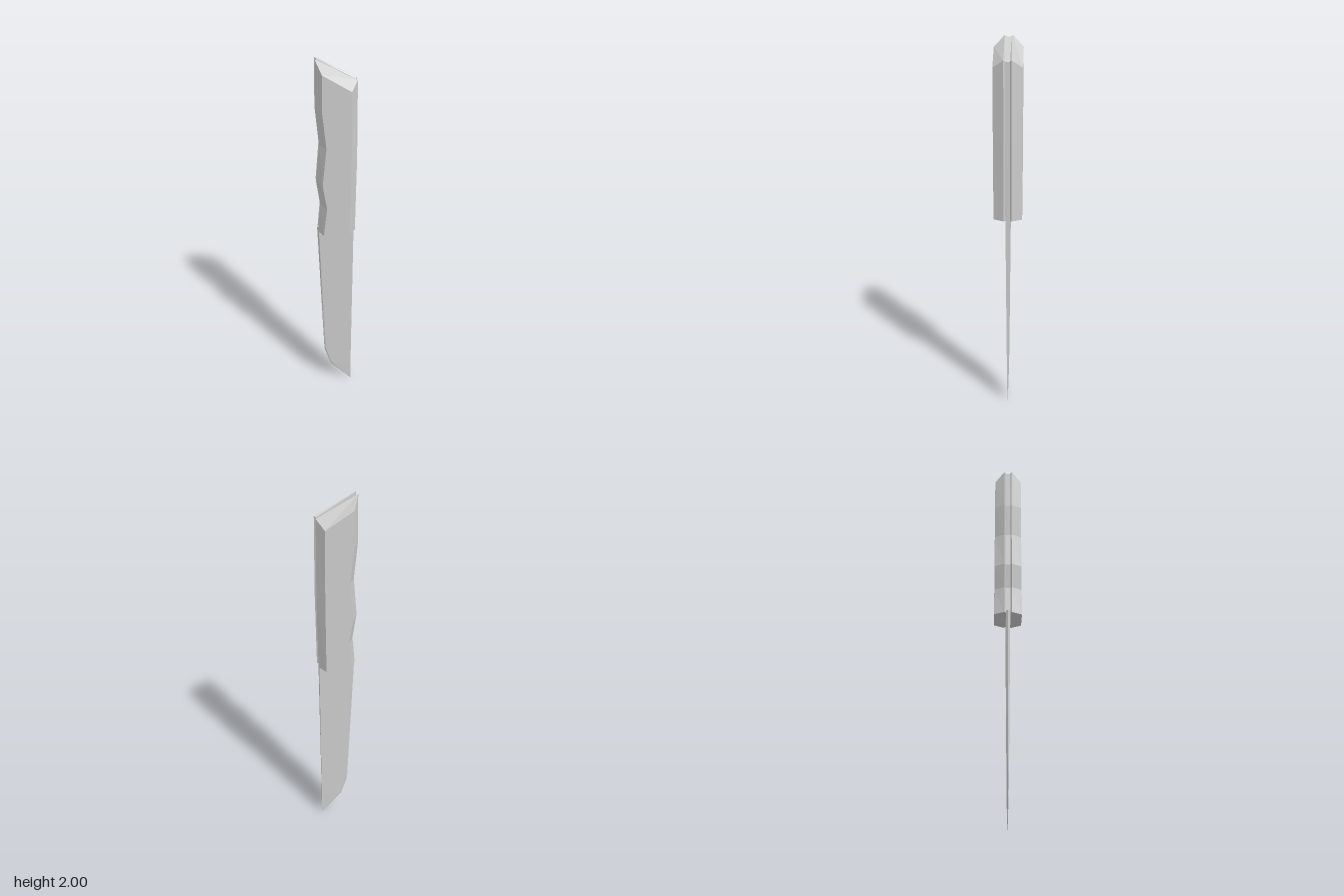
import * as THREE from 'three';

const material = new THREE.MeshStandardMaterial({ color: 0xcccccc, flatShading: true });

// Joins counter-clockwise 2D rings, stacked at rising heights, into a capped faceted solid.
function loft(name, rings, heights, place) {
  const positions = [];
  const corner = (r, i) => {
    const [a, b] = rings[r][i % rings[r].length];
    positions.push(...place(a, b, heights[r]));
  };
  const triangle = (...corners) => corners.forEach(([r, i]) => corner(r, i));
  for (let r = 0; r < rings.length - 1; r++) {
    for (let i = 0; i < rings[r].length; i++) {
      triangle([r, i], [r, i + 1], [r + 1, i + 1]);
      triangle([r, i], [r + 1, i + 1], [r + 1, i]);
    }
  }
  const cap = (r, flip) => {
    const contour = rings[r].map(([a, b]) => new THREE.Vector2(a, b));
    for (const face of THREE.ShapeUtils.triangulateShape(contour, [])) {
      if (flip) face.reverse();
      face.forEach((i) => corner(r, i));
    }
  };
  cap(0, true);
  cap(rings.length - 1, false);
  const geometry = new THREE.BufferGeometry();
  geometry.setAttribute('position', new THREE.Float32BufferAttribute(positions, 3));
  geometry.computeVertexNormals();
  const mesh = new THREE.Mesh(geometry, material);
  mesh.name = name;
  return mesh;
}

export function createModel() {
  const knife = new THREE.Group();
  knife.name = 'knife';

  // Grip outlines: straight back, slanted butt, wavy finger side
  const rim = [
    [0.096, 1.088], [0.101, 1.5], [0.098, 1.9], [-0.1, 2], [-0.103, 1.765],
    [-0.086, 1.58], [-0.103, 1.38], [-0.084, 1.245], [-0.098, 1.088],
  ];
  const face = [
    [0.066, 1.088], [0.069, 1.5], [0.067, 1.862], [-0.071, 1.945], [-0.072, 1.765],
    [-0.053, 1.58], [-0.073, 1.38], [-0.052, 1.245], [-0.07, 1.088],
  ];
  const inset = (dx, dy) => rim.map(([x, y]) => [x - Math.sign(x) * dx, y > 1.85 ? y - dy : y]);
  const flat = (x, y, z) => [x, y, z];

  // Bevelled grip scales on both sides
  const rings = [inset(0.008, 0.006), rim, face];
  const depths = [0.013, 0.02, 0.074];
  knife.add(loft('frontGripScale', rings, depths, flat));
  knife.add(loft('backGripScale', [...rings].reverse(), depths.map((z) => -z).reverse(), flat));

  // Recessed tang between the scales
  const tang = inset(0.008, 0.008);
  knife.add(loft('tang', [tang, tang], [-0.0135, 0.0135], flat));

  // Blade sections from tip to grip: height, cutting edge x, spine x, half thickness
  const sections = [
    [0, 0.085, 0.0865, 0.001],
    [0.135, -0.035, 0.086, 0.0035],
    [0.25, -0.07, 0.086, 0.0045],
    [1.1, -0.101, 0.09, 0.0115],
  ];
  const bladeRings = sections.map(([, edge, spine, t]) => {
    const bevel = edge + Math.min(0.008, (spine - edge) / 2);
    return [[edge, 0], [bevel, -t], [spine, -t], [spine, t], [bevel, t]];
  });
  knife.add(loft('blade', bladeRings, sections.map(([y]) => y), (x, z, y) => [x, y, -z]));

  return knife;
}
